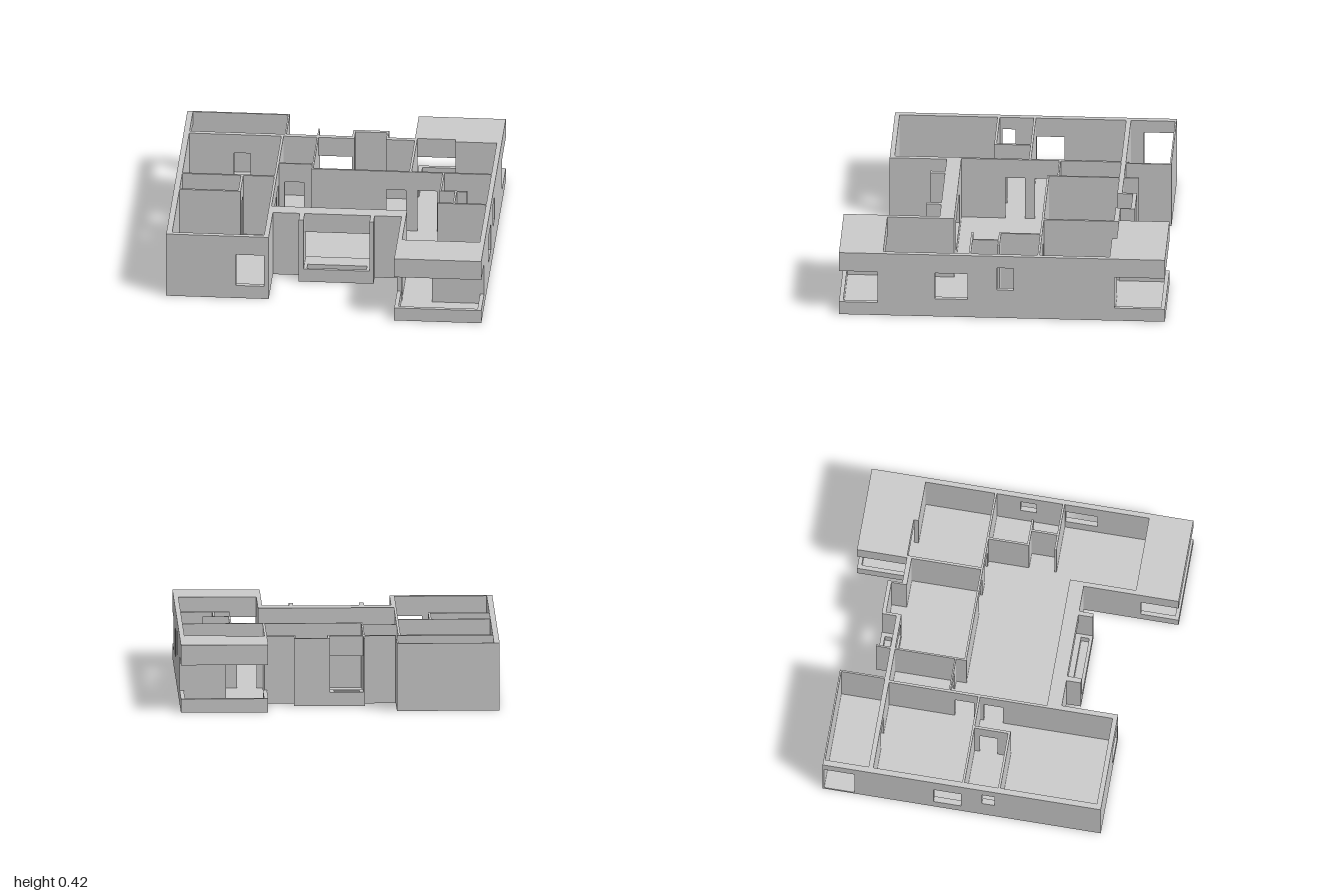
import * as THREE from 'three';

const H = 0.42, FLOOR = 0.02, SILL = 0.085, HEAD = 0.295;
const material = new THREE.MeshStandardMaterial({ color: 0xcccccc, flatShading: true });

export function createModel() {
  const model = new THREE.Group();

  function box(parent, name, x0, x1, y0, y1, z0, z1) {
    const mesh = new THREE.Mesh(new THREE.BoxGeometry(x1 - x0, y1 - y0, z1 - z0), material);
    mesh.position.set((x0 + x1) / 2, (y0 + y1) / 2, (z0 + z1) / 2);
    mesh.name = name;
    parent.add(mesh);
  }

  // Wall along its longer side, with openings [from, to, bottom, top]
  function wall(name, x0, x1, z0, z1, openings = []) {
    const group = new THREE.Group();
    group.name = name;
    model.add(group);
    const alongX = x1 - x0 > z1 - z0;
    const piece = (a, b, y0, y1) => {
      if (b - a < 1e-4 || y1 - y0 < 1e-4) return;
      if (alongX) box(group, 'wallPiece', a, b, y0, y1, z0, z1);
      else box(group, 'wallPiece', x0, x1, y0, y1, a, b);
    };
    let at = alongX ? x0 : z0;
    for (const [a, b, y0, y1] of openings) {
      piece(at, a, 0, H);
      piece(a, b, 0, y0);
      piece(a, b, y1, H);
      at = b;
    }
    piece(at, alongX ? x1 : z1, 0, H);
  }

  // Low rim around a rectangle, standing on its floor
  function rim(name, x0, x1, z0, z1, t) {
    const group = new THREE.Group();
    group.name = name;
    model.add(group);
    for (const [a, b] of [[z0, z0 + t], [z1 - t, z1]]) box(group, 'rimEnd', x0, x1, 0, SILL, a, b);
    for (const [a, b] of [[x0, x0 + t], [x1 - t, x1]]) box(group, 'rimSide', a, b, 0, SILL, z0 + t, z1 - t);
  }

  // Floor slab cut to the plan outline
  const outline = [
    [-0.98, -0.97], [-0.35, -0.97], [-0.35, -0.69], [-0.16, -0.69], [-0.16, -0.78], [0.275, -0.78],
    [0.275, -0.69], [0.44, -0.69], [0.44, -1], [0.975, -1], [0.975, 1], [0.44, 1], [0.44, 0.41],
    [0.275, 0.41], [0.275, 0.5], [-0.185, 0.5], [-0.185, 0.41], [-0.35, 0.41], [-0.35, 0.76], [-0.98, 0.76],
  ];
  const plan = new THREE.Shape(outline.map(([x, z]) => new THREE.Vector2(x, -z)));
  const floorGeometry = new THREE.ExtrudeGeometry(plan, { depth: FLOOR, bevelEnabled: false });
  floorGeometry.rotateX(-Math.PI / 2);
  const floor = new THREE.Mesh(floorGeometry, material);
  floor.name = 'floor';
  model.add(floor);

  // Outer walls of the -x wing
  wall('wingSideWall', -0.98, -0.945, -0.97, 0.76, [
    [-0.96, -0.77, FLOOR, 0.34], [-0.28, -0.11, SILL, HEAD], [0.02, 0.1, 0.19, 0.34],
  ]);
  wall('wingBackWall', -0.945, -0.35, -0.97, -0.96);
  wall('wingFrontWall', -0.945, -0.35, 0.73, 0.76, [[-0.55, -0.38, SILL, HEAD]]);
  wall('wingBackInnerWall', -0.36, -0.35, -0.96, -0.69);
  wall('wingFrontInnerWall', -0.38, -0.35, 0.41, 0.73);

  // Outer walls of the +x wing
  wall('sideWall', 0.945, 0.975, -0.69, 0.765, [[-0.07, 0.03, 0.19, 0.34], [0.21, 0.41, 0.12, HEAD]]);
  wall('balconyBackWall', 0.69, 0.945, -0.69, -0.66);
  wall('balconyFrontWall', 0.44, 0.945, 0.73, 0.765, [[0.47, 0.655, FLOOR, HEAD]]);
  wall('loungeWall', 0.44, 0.468, 0.41, 0.73);

  // Back wall, with the alcove and the planter beside it
  wall('backWall', -0.945, 0.07, -0.69, -0.66, [[-0.67, -0.57, FLOOR, HEAD], [-0.15, 0.055, SILL, HEAD]]);
  wall('backWallEnd', 0.265, 0.455, -0.69, -0.66);
  wall('alcoveBackWall', 0.055, 0.275, -0.78, -0.755);
  wall('alcoveSide', 0.055, 0.07, -0.755, -0.69);
  wall('alcoveSide', 0.265, 0.275, -0.755, -0.69);
  wall('backPlanterFin', -0.16, -0.15, -0.78, -0.69);
  rim('backPlanter', -0.15, 0.055, -0.78, -0.69, 0.024);

  // Thick front wall, with the planter between two fins
  wall('frontWall', -0.38, 0.468, 0.32, 0.41, [[-0.155, 0.25, SILL, HEAD]]);
  wall('frontPlanterFin', -0.185, -0.155, 0.41, 0.5);
  wall('frontPlanterFin', 0.25, 0.275, 0.41, 0.5);
  rim('frontPlanter', -0.155, 0.25, 0.41, 0.5, 0.02);

  // Balconies: low parapet below, solid slab above
  for (const [z0, z1] of [[-1, -0.69], [0.765, 1]]) {
    const front = z0 > 0;
    box(model, 'balconyRoof', 0.44, 0.975, HEAD, H, z0, z1);
    box(model, 'balconyParapetEnd', 0.44, 0.975, 0, SILL, front ? z1 - 0.025 : z0, front ? z1 : z0 + 0.025);
    for (const x of [0.44, 0.95]) {
      box(model, 'balconyParapetSide', x, x + 0.025, 0, SILL, front ? z0 : z0 + 0.025, front ? z1 - 0.025 : z1);
    }
  }

  // Partitions: name, x0, x1, z0, z1, doors
  const door = (a, b) => [a, b, FLOOR, HEAD];
  const partitions = [
    ['bedroomWall', -0.38, -0.365, -0.66, 0.32, [door(-0.25, -0.13), door(-0.07, 0.05)]],
    ['bedroomDivider', -0.945, -0.38, -0.107, -0.093],
    ['closetFrontWall', -0.945, -0.57, 0.115, 0.13],
    ['closetSideWall', -0.585, -0.57, -0.093, 0.115, [door(-0.06, 0.05)]],
    ['smallRoomWall', -0.365, -0.16, -0.29, -0.28, [door(-0.33, -0.21)]],
    ['kitchenSideWall', -0.16, -0.15, -0.66, -0.215],
    ['kitchenFrontWall', -0.15, 0.945, -0.23, -0.217, [door(0.3, 0.42), door(0.49, 0.61)]],
    ['kitchenDivider', 0.44, 0.455, -0.66, -0.23],
    ['bathSideWall', 0.645, 0.657, -0.217, 0.035],
    ['bathDivider', 0.657, 0.815, 0.022, 0.035],
    ['bathInnerWall', 0.74, 0.752, 0.035, 0.192],
    ['bathFrontWall', 0.645, 0.945, 0.192, 0.205],
  ];
  for (const partition of partitions) wall(...partition);

  return model;
}
